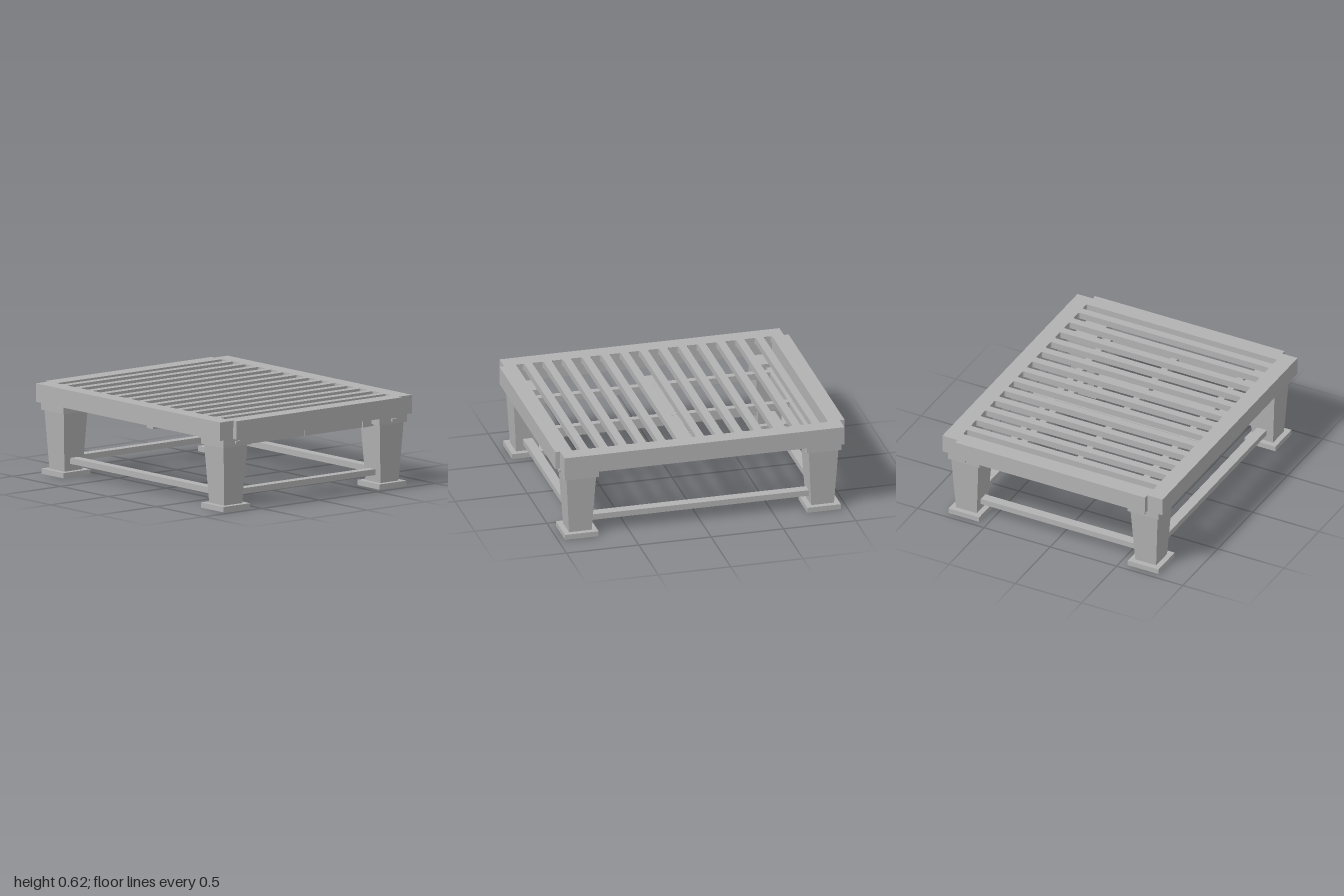
import * as THREE from 'three';

export function createModel() {
  const model = new THREE.Group();
  model.name = 'slattedTable';
  const grey = new THREE.MeshStandardMaterial({ color: 0xb2b2b2 });
  grey.name = 'plain grey';

  const add = (name, geometry, x, y, z, parent = model) => {
    const mesh = new THREE.Mesh(geometry, grey);
    mesh.name = name;
    mesh.position.set(x, y, z);
    parent.add(mesh);
    return mesh;
  };
  // Box given by its low and high limits on each axis
  const box = (name, [x0, x1], [y0, y1], [z0, z1], parent) =>
    add(name, new THREE.BoxGeometry(x1 - x0, y1 - y0, z1 - z0),
      (x0 + x1) / 2, (y0 + y1) / 2, (z0 + z1) / 2, parent);

  // Slotted top: stepped outline with long slots between thirteen slats
  const W = 1, w = 0.967, D = 0.83, d = 0.715;
  const outline = new THREE.Shape([
    [-w, -D], [w, -D], [w, -d], [W, -d], [W, d], [w, d],
    [w, D], [-w, D], [-w, d], [-W, d], [-W, -d], [-w, -d],
  ].map(([x, y]) => new THREE.Vector2(x, y)));
  const slot = (x0, x1, e, r) => {
    const p = new THREE.Path();
    p.moveTo(x0 + r, -e);
    p.lineTo(x1 - r, -e);
    p.quadraticCurveTo(x1, -e, x1, -e + r);
    p.lineTo(x1, e - r);
    p.quadraticCurveTo(x1, e, x1 - r, e);
    p.lineTo(x0 + r, e);
    p.quadraticCurveTo(x0, e, x0, e - r);
    p.lineTo(x0, -e + r);
    p.quadraticCurveTo(x0, -e, x0 + r, -e);
    outline.holes.push(p);
  };
  const pitch = 0.1333, half = 0.0275, slotEnd = 0.718;
  for (let k = -6; k < 6; k++) {
    slot(k * pitch + half, (k + 1) * pitch - half, slotEnd, 0.012);
  }
  slot(-0.885, -6 * pitch - half, slotEnd, 0.012);
  slot(6 * pitch + half, 0.885, slotEnd, 0.012);
  const top = new THREE.ExtrudeGeometry(outline, { depth: 0.045, bevelEnabled: false, curveSegments: 3 });
  top.rotateX(-Math.PI / 2);
  add('slattedTop', top, 0, 0.57, 0);

  // Frame boards below the top
  for (const s of [-1, 1]) {
    const span = (a, b) => (s > 0 ? [a, b] : [-b, -a]);
    box(s > 0 ? 'frontBoard' : 'backBoard', [-w, w], [0.49, 0.57], span(0.718, D));
    box(s > 0 ? 'leftBoard' : 'rightBoard', span(0.885, W), [0.49, 0.57], [-d, d]);

    // Stretchers between the legs
    box('longStretcher', [-0.78, 0.78], [0.085, 0.125], span(0.638, 0.708));
    box('sideStretcher', span(0.805, 0.87), [0.085, 0.125], [-0.61, 0.61]);
    box('sideRail', span(0.805, 0.87), [0.42, 0.464], [-0.58, 0.58]);
  }

  // Rails under the slats
  for (const z of [-0.5, 0, 0.5]) {
    box('crossRail', [-0.88, 0.88], [0.421, 0.465], [z - 0.023, z + 0.023]);
  }
  box('centreRail', [-0.033, 0.033], [0.42, 0.464], [-0.64, 0.64]);

  // Tapered legs with cap, foot and peg
  const legShape = new THREE.CylinderGeometry(0.205 / Math.SQRT2, 0.157 / Math.SQRT2, 0.4, 4, 1).toNonIndexed();
  legShape.rotateY(Math.PI / 4);
  legShape.computeVertexNormals();
  for (const sx of [-1, 1]) {
    for (const sz of [-1, 1]) {
      const leg = new THREE.Group();
      leg.name = (sz > 0 ? 'front' : 'back') + (sx > 0 ? 'Left' : 'Right') + 'Leg';
      leg.position.set(sx * 0.8375, 0, sz * 0.676);
      model.add(leg);
      add('legPost', legShape, 0, 0.235, 0, leg);
      box('legCap', [-0.118, 0.118], [0.435, 0.49], [-0.118, 0.118], leg);
      box('foot', [-0.116, 0.116], [0, 0.036], [-0.116, 0.116], leg);
      box('peg', [-0.132, 0.132], [0.453, 0.472], [-0.018, 0.018], leg);
    }
  }
  return model;
}
